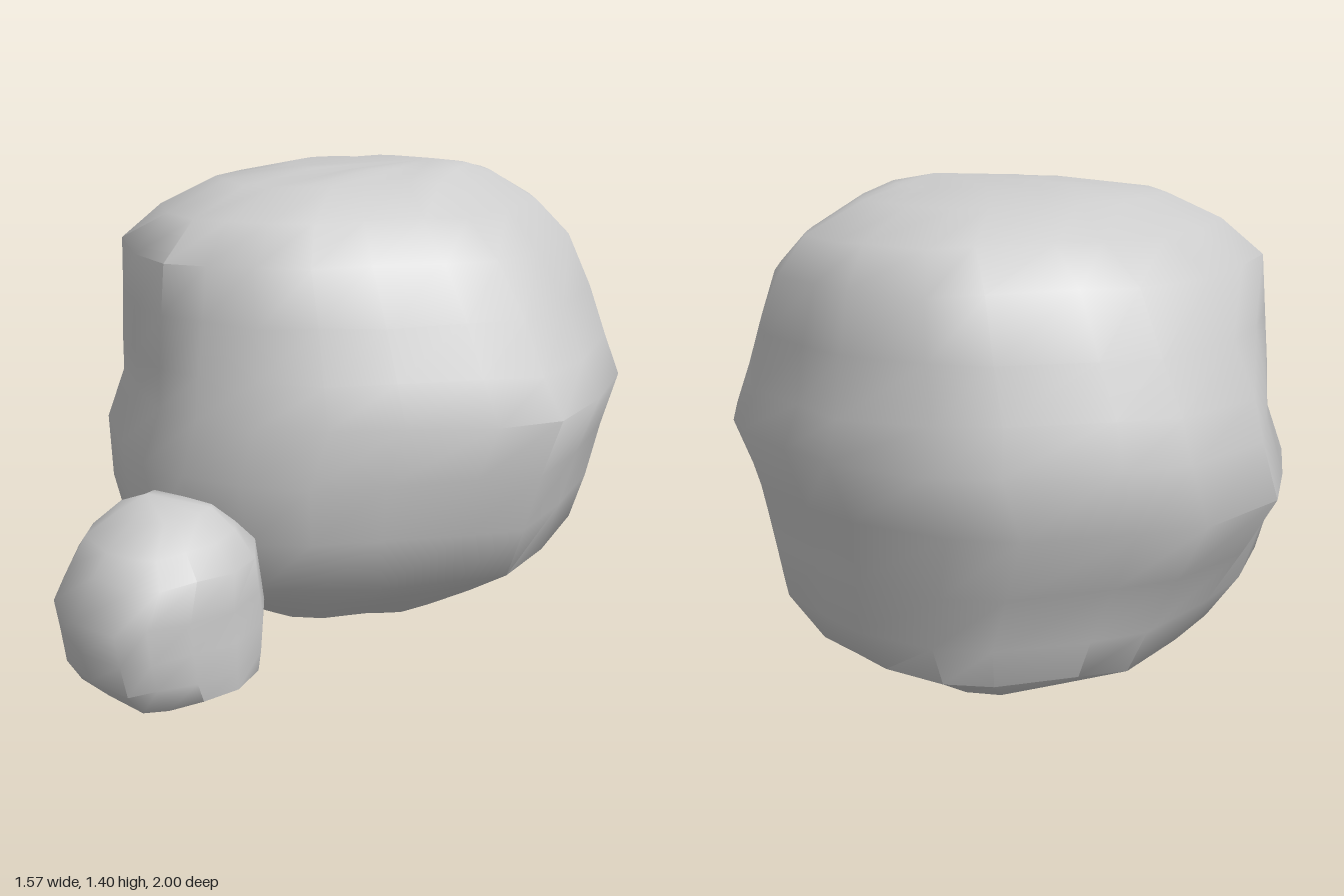
import * as THREE from 'three';
import { toCreasedNormals } from 'three/addons/utils/BufferGeometryUtils.js';

// Plan outlines [x, z], running back, right, front, left
const boulderPlan = [
  [-0.03, -1], [0.16, -0.95], [0.38, -0.89], [0.5, -0.8], [0.66, -0.65], [0.75, -0.33],
  [0.785, -0.05], [0.67, 0.09], [0.5, 0.27], [0.35, 0.41], [0.18, 0.5], [0, 0.53],
  [-0.15, 0.51], [-0.35, 0.38], [-0.56, 0.22], [-0.68, 0], [-0.79, -0.22], [-0.76, -0.53],
  [-0.65, -0.67], [-0.46, -0.88], [-0.3, -0.96],
];
const pebblePlan = [
  [0, 0.45], [0.2, 0.47], [0.28, 0.57], [0.31, 0.7], [0.29, 0.84], [0.24, 0.94],
  [0.18, 0.99], [0.05, 1], [-0.1, 0.92], [-0.19, 0.8], [-0.245, 0.66], [-0.18, 0.54],
];

// Extents of each level [y, xMin, xMax, zMin, zMax], bottom to top
const boulderLevels = [
  [0, 0.12, 0.12, -0.33, -0.33],
  [0.04, -0.15, 0.2, -0.45, -0.06],
  [0.12, -0.37, 0.34, -0.67, 0.18],
  [0.21, -0.53, 0.48, -0.85, 0.31],
  [0.31, -0.59, 0.64, -0.89, 0.45],
  [0.46, -0.68, 0.7, -0.92, 0.51],
  [0.62, -0.785, 0.745, -0.965, 0.53],
  [0.77, -0.76, 0.785, -1, 0.5],
  [0.88, -0.73, 0.73, -0.975, 0.475],
  [1.02, -0.67, 0.66, -0.96, 0.45],
  [1.17, -0.595, 0.57, -0.935, 0.425],
  [1.27, -0.48, 0.46, -0.87, 0.34],
  [1.35, -0.36, 0.34, -0.7, 0.16],
  [1.38, -0.2, 0.3, -0.52, -0.05],
  [1.4, 0.2, 0.2, -0.33, -0.33],
];
const pebbleLevels = [
  [0.065, 0.1, 0.1, 0.69, 0.69],
  [0.115, -0.08, 0.22, 0.58, 0.82],
  [0.16, -0.16, 0.3, 0.48, 0.92],
  [0.22, -0.2, 0.31, 0.46, 0.97],
  [0.3, -0.215, 0.31, 0.445, 0.99],
  [0.38, -0.245, 0.31, 0.45, 1],
  [0.48, -0.19, 0.31, 0.49, 0.95],
  [0.54, -0.13, 0.25, 0.53, 0.9],
  [0.59, -0.06, 0.18, 0.58, 0.8],
  [0.625, 0.02, 0.02, 0.7, 0.7],
];

// Extra fullness of the narrower levels towards each diagonal, as [lower half, upper half]
const boulderCorners = {
  backLeft: [0.12, 0.08], frontLeft: [0.05, -0.15], frontRight: [0.9, 0.75], backRight: [0.2, -0.08],
};
const pebbleCorners = {
  backLeft: [0.1, 0.1], frontLeft: [0, 0], frontRight: [0.9, 0.4], backRight: [0.1, 0.1],
};

// Fits the plan outline to each level and skins the rings, with slight chipping
function rockGeometry(plan, levels, corners, chip, seed) {
  const random = () => (seed = (seed * 16807) % 2147483647) / 2147483647;
  const box = new THREE.Box2().setFromPoints(plan.map(([x, z]) => new THREE.Vector2(x, z)));
  const size = box.getSize(new THREE.Vector2());
  const n = plan.length;
  const positions = [], indices = [];

  levels.forEach(([y, x0, x1, z0, z1], i) => {
    const pole = i === 0 || i === levels.length - 1;
    const narrowing = 1 - (x1 - x0) / size.x;
    const half = i < levels.length / 2 ? 0 : 1;
    for (const [px, pz] of plan) {
      const u = (px - box.min.x) / size.x - 0.5;
      const v = (pz - box.min.y) / size.y - 0.5;
      const corner = corners[(v > 0 ? 'front' : 'back') + (u > 0 ? 'Left' : 'Right')][half];
      const diagonal = 2 * Math.abs(u * v) / (u * u + v * v);
      const k = 1 + Math.min(0.2, corner * narrowing) * diagonal + chip * (random() - 0.5);
      const dy = pole ? 0 : (random() - 0.5) * chip;
      positions.push((x0 + x1) / 2 + u * k * (x1 - x0), y + dy, (z0 + z1) / 2 + v * k * (z1 - z0));
    }
  });
  for (let i = 0; i < levels.length - 1; i++) {
    for (let j = 0; j < n; j++) {
      const a = i * n + j, b = i * n + (j + 1) % n, c = a + n, d = b + n;
      if (i > 0) indices.push(a, c, b);
      if (i < levels.length - 2) indices.push(b, c, d);
    }
  }
  const geometry = new THREE.BufferGeometry();
  geometry.setAttribute('position', new THREE.Float32BufferAttribute(positions, 3));
  geometry.setIndex(indices);
  return toCreasedNormals(geometry, 0.85);
}

export function createModel() {
  const group = new THREE.Group();
  group.name = 'rocks';
  const material = new THREE.MeshStandardMaterial({ color: 0xcccccc });
  const add = (name, geometry) => {
    const mesh = new THREE.Mesh(geometry, material);
    mesh.name = name;
    group.add(mesh);
  };
  add('largeBoulder', rockGeometry(boulderPlan, boulderLevels, boulderCorners, 0.012, 7));
  add('smallRock', rockGeometry(pebblePlan, pebbleLevels, pebbleCorners, 0.02, 23));
  return group;
}
